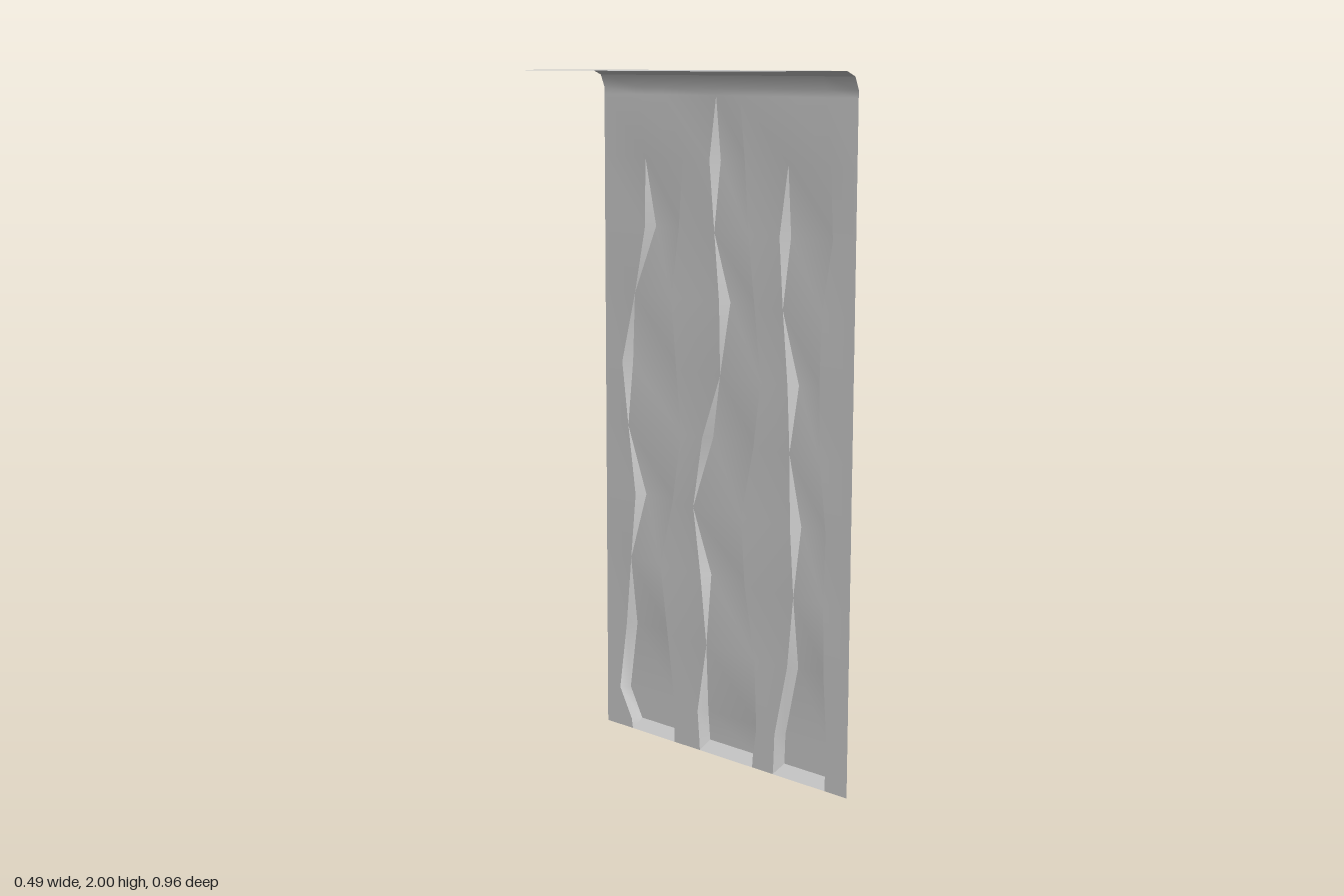
import * as THREE from 'three';
import { toCreasedNormals } from 'three/addons/utils/BufferGeometryUtils.js';

const HALF_WIDTH = 0.48, BACK = -0.243, FACE = 0.215, BEND = 0.05;
const RELIEF = 0.028, INSET = 0.018;

// Heights of the rows on the falling face, top to bottom
const LEVELS = [1.93, 1.75, 1.55, 1.35, 1.14, 0.95, 0.74, 0.54, 0.33, 0.12, 0.03, 0];

// Each raised strand: z of its two edges at every level, and the levels where it lies flush
const STRANDS = [
  {
    left: [0.37, 0.39, 0.4, 0.365, 0.36, 0.365, 0.39, 0.385, 0.39, 0.405, 0.4, 0.4],
    right: [0.25, 0.24, 0.21, 0.225, 0.245, 0.255, 0.26, 0.275, 0.255, 0.21, 0.207, 0.205],
    flush: [0, 1, 3, 5, 7, 11],
  },
  {
    left: [0.06, 0.08, 0.095, 0.12, 0.145, 0.12, 0.075, 0.09, 0.13, 0.14, 0.127, 0.125],
    right: [-0.03, -0.055, -0.035, -0.015, -0.01, -0.08, -0.115, -0.085, -0.06, -0.095, -0.087, -0.085],
    flush: [0, 2, 4, 6, 8, 11],
  },
  {
    left: [-0.23, -0.16, -0.175, -0.205, -0.185, -0.165, -0.2, -0.25, -0.22, -0.19, -0.19, -0.19],
    right: [-0.34, -0.31, -0.312, -0.355, -0.41, -0.385, -0.355, -0.375, -0.395, -0.425, -0.375, -0.37],
    flush: [0, 1, 3, 5, 7, 11],
  },
];

// One row of points across the sheet; raised strands have sloping sides
function crossSection(x, y, level) {
  const row = [[x, y, HALF_WIDTH]];
  for (const { left, right, flush } of STRANDS) {
    const raised = level >= 0 && !flush.includes(level);
    const i = Math.max(level, 0);
    const inset = raised ? INSET : 0;
    const top = raised ? x + RELIEF : x;
    row.push(
      [x, y, left[i]],
      [top, y, left[i] - inset],
      [top, y, right[i] + inset],
      [x, y, right[i]],
    );
  }
  row.push([x, y, -HALF_WIDTH]);
  return row;
}

// Joins neighbouring rows into a surface
function loft(rows) {
  const n = rows[0].length;
  const index = [];
  for (let r = 0; r < rows.length - 1; r++) {
    for (let c = 0; c < n - 1; c++) {
      const a = r * n + c, b = a + n;
      index.push(a, b, a + 1, b, b + 1, a + 1);
    }
  }
  const geometry = new THREE.BufferGeometry();
  geometry.setAttribute('position', new THREE.Float32BufferAttribute(rows.flat(2), 3));
  geometry.setIndex(index);
  return toCreasedNormals(geometry, 0.6);
}

export function createModel() {
  const group = new THREE.Group();
  group.name = 'waterfall';
  const rows = [];

  // Flat top, then the bend over the edge
  rows.push(crossSection(BACK, 2, -1));
  for (let i = 0; i <= 2; i++) {
    const a = (i / 2) * (Math.PI / 2);
    rows.push(crossSection(FACE - BEND + BEND * Math.sin(a), 2 - BEND + BEND * Math.cos(a), -1));
  }

  // Falling face with its raised strands
  LEVELS.forEach((y, level) => rows.push(crossSection(FACE, y, level)));

  const sheet = new THREE.Mesh(
    loft(rows),
    new THREE.MeshStandardMaterial({ color: 0xcccccc, side: THREE.DoubleSide }),
  );
  sheet.name = 'waterSheet';
  group.add(sheet);
  return group;
}
